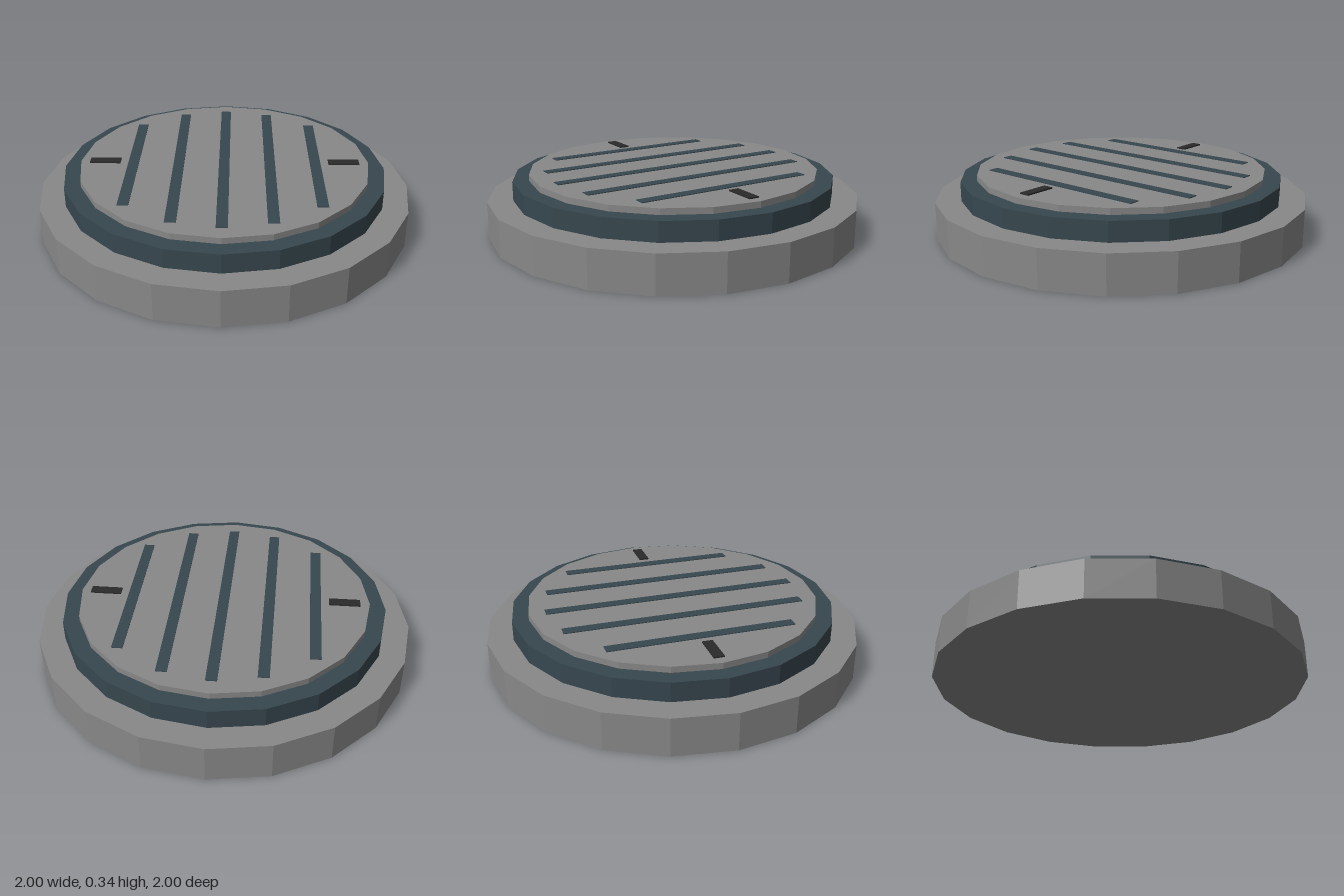
import * as THREE from 'three';

const SIDES = 20;
const material = (color) => new THREE.MeshStandardMaterial({ color, flatShading: true });

export function createModel() {
  const model = new THREE.Group();
  const stone = material(0x888888);
  const iron = material(0x37474f);
  const black = material(0x2a2a2a);

  const add = (name, geometry, mat, x, y, z) => {
    const mesh = new THREE.Mesh(geometry, mat);
    mesh.name = name;
    mesh.position.set(x, y, z);
    model.add(mesh);
  };

  // Faceted disc from one height to another
  const disc = (name, radius, bottom, top, mat) =>
    add(name, new THREE.CylinderGeometry(radius, radius, top - bottom, SIDES), mat, 0, (bottom + top) / 2, 0);

  // Thin strip lying on the lid, sunk slightly into it
  const strip = (name, width, length, top, mat, x) =>
    add(name, new THREE.BoxGeometry(width, top - 0.315, length), mat, x, (top + 0.315) / 2, 0);

  // Stepped cover: base, dark rim, lid
  disc('base', 1, 0, 0.2, stone);
  disc('rim', 0.865, 0.2, 0.302, iron);
  disc('lid', 0.778, 0.302, 0.334, stone);

  // Parallel grip bars, shorter towards the edge
  const lengths = [1.38, 1.29, 0.975];
  for (let i = -2; i <= 2; i++) {
    strip('gripBar', 0.057, lengths[Math.abs(i)], 0.338, iron, i * 0.245);
  }

  // Lifting slots on both sides
  for (const side of [-1, 1]) {
    strip(side > 0 ? 'leftLiftingSlot' : 'rightLiftingSlot', 0.165, 0.054, 0.341, black, side * 0.644);
  }

  return model;
}
